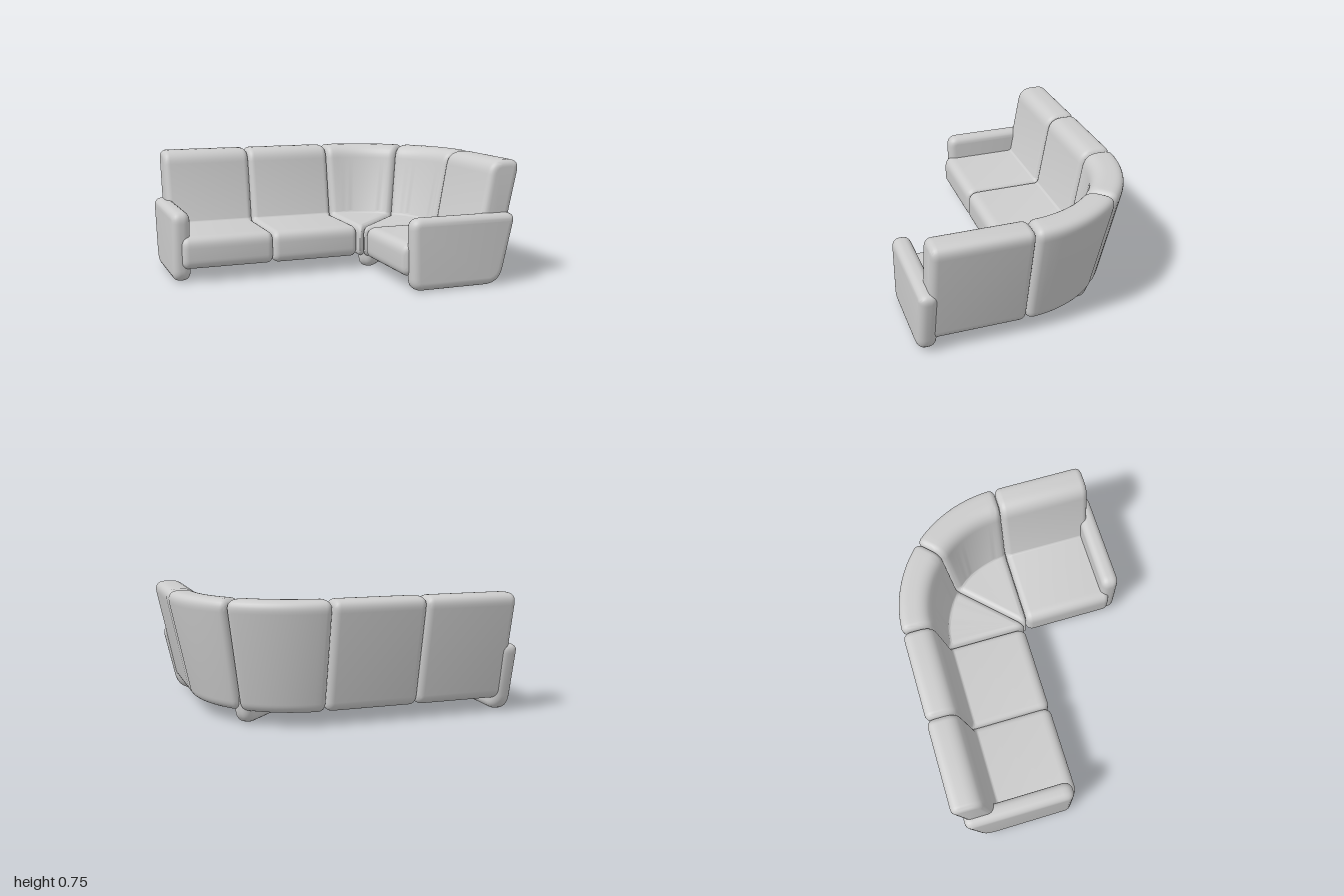
import * as THREE from 'three';
import { toCreasedNormals } from 'three/addons/utils/BufferGeometryUtils.js';

const material = new THREE.MeshStandardMaterial({ color: 0xcccccc });

// Closed outline from corners [depth, height, radius]
function roundedOutline(corners) {
  const shape = new THREE.Shape();
  const n = corners.length;
  corners.forEach(([x, y, r], i) => {
    const c = new THREE.Vector2(x, y);
    const toward = ([px, py]) => new THREE.Vector2(px, py).sub(c).setLength(r).add(c);
    const a = toward(corners[(i + n - 1) % n]);
    const b = toward(corners[(i + 1) % n]);
    if (i === 0) shape.moveTo(a.x, a.y);
    else shape.lineTo(a.x, a.y);
    shape.quadraticCurveTo(x, y, b.x, b.y);
  });
  shape.closePath();
  return shape;
}

// Padded slab: outline in x (depth) and y, running from z = 0 to z = length
function padded(corners, length, radius, steps = 1) {
  const geometry = new THREE.ExtrudeGeometry(roundedOutline(corners), {
    depth: length - 2 * radius, steps, curveSegments: 8,
    bevelEnabled: true, bevelThickness: radius, bevelSize: radius,
    bevelOffset: -radius, bevelSegments: 6,
  });
  return geometry.translate(0, 0, radius);
}

// Seat and leaning back in one profile, depth measured from the seat front
const seatProfile = [
  [0, 0.08, 0.06], [0.635, 0.08, 0.06], [0.775, 0.745, 0.075],
  [0.575, 0.745, 0.085], [0.495, 0.28, 0.02], [0, 0.28, 0.07],
];
const armProfile = [
  [0.04, 0, 0.07], [0.625, 0, 0.1], [0.722, 0.43, 0.06], [0.03, 0.43, 0.07],
];
const cornerFootProfile = [
  [0.07, 0, 0.07], [0.64, 0, 0.08], [0.66, 0.21, 0.06], [0.06, 0.21, 0.07],
];

const R = 0.04;           // padding radius of the seat ends
const FRONT_RADIUS = 0.03; // seat front of the corner to its pivot
const WEDGE = Math.PI / 4;

// Bend a slab of unit length round the pivot, keeping the end padding even
function cornerWedge() {
  const geometry = padded(seatProfile, 1, R, 14);
  const p = geometry.attributes.position;
  for (let i = 0; i < p.count; i++) {
    const r = p.getX(i) + FRONT_RADIUS;
    const z = p.getZ(i);
    const k = Math.min(R / r, WEDGE * 0.45);
    let a;
    if (z < R) a = (z / R) * k;
    else if (z > 1 - R) a = WEDGE - ((1 - z) / R) * k;
    else a = k + ((z - R) / (1 - 2 * R)) * (WEDGE - 2 * k);
    p.setXYZ(i, r * Math.cos(a), p.getY(i), r * Math.sin(a));
  }
  return geometry;
}

export function createModel() {
  const group = new THREE.Group();
  group.name = 'cornerSofa';

  function add(name, geometry, x, z, turn = 0) {
    const mesh = new THREE.Mesh(toCreasedNormals(geometry, 0.7), material);
    mesh.name = name;
    mesh.position.set(x, 0, z);
    mesh.rotation.y = turn;
    group.add(mesh);
  }

  // Straight seats: two along the back, one on the side
  add('rightSeat', padded(seatProfile, 0.57, R), -0.947, 0.05, Math.PI / 2);
  add('middleSeat', padded(seatProfile, 0.562, R), -0.377, 0.05, Math.PI / 2);
  add('leftSeat', padded(seatProfile, 0.575, R), 0.22, 0.083);

  // Curved corner in two wedges
  add('cornerSeatBack', cornerWedge(), 0.19, 0.08, Math.PI / 2);
  add('cornerSeatSide', cornerWedge(), 0.19, 0.08, Math.PI / 4);

  // Arm panels at both ends
  add('rightArm', padded(armProfile, 0.11, 0.045), -1, 0.05, Math.PI / 2);
  add('leftArm', padded(armProfile, 0.11, 0.045), 0.22, 0.608);

  // Low support under the corner, on the diagonal
  const foot = padded(cornerFootProfile, 0.11, 0.045).translate(0, 0, -0.055);
  add('cornerFoot', foot, 0.19, 0.08, Math.PI / 4);

  return group;
}
